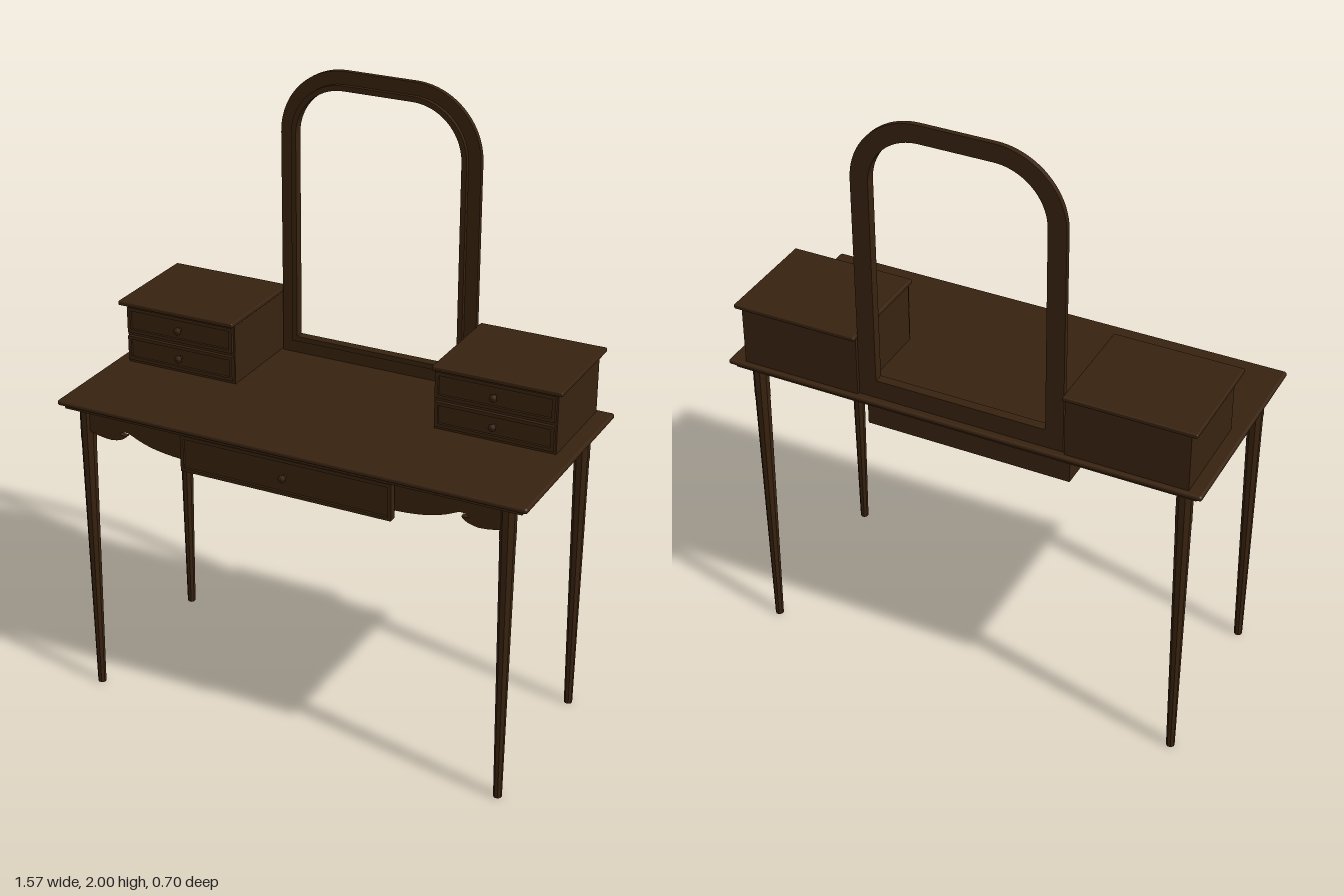
import * as THREE from 'three';
import { RoundedBoxGeometry } from 'three/addons/geometries/RoundedBoxGeometry.js';

const wood = new THREE.MeshStandardMaterial({ color: 0x38220f });
wood.name = 'dark walnut';

export function createModel() {
  const model = new THREE.Group();
  model.name = 'dressingTable';

  const add = (name, geometry, x = 0, y = 0, z = 0) => {
    const mesh = new THREE.Mesh(geometry, wood);
    mesh.name = name;
    mesh.position.set(x, y, z);
    model.add(mesh);
    return mesh;
  };
  // Box given by its limits on each axis
  const box = (name, x0, x1, y0, y1, z0, z1) =>
    add(name, new THREE.BoxGeometry(x1 - x0, y1 - y0, z1 - z0), (x0 + x1) / 2, (y0 + y1) / 2, (z0 + z1) / 2);
  const extrude = (shape, depth) =>
    new THREE.ExtrudeGeometry(shape, { depth, bevelEnabled: false, curveSegments: 10 });
  const rectangle = (path, x0, x1, y0, y1) =>
    path.moveTo(x0, y0).lineTo(x1, y0).lineTo(x1, y1).lineTo(x0, y1).closePath();

  // Turned knob pointing forwards
  const knobProfile = [[0, 0], [0.006, 0], [0.005, 0.01], [0.013, 0.016], [0.012, 0.022], [0, 0.025]]
    .map(([r, h]) => new THREE.Vector2(r, h));
  const knob = (x, y, z) => {
    add('knob', new THREE.LatheGeometry(knobProfile, 14), x, y, z).rotation.x = Math.PI / 2;
  };

  // Drawer front: a panel inside a raised rim
  const drawerFront = (name, x0, x1, y0, y1, z0, z1) => {
    const rim = 0.011;
    box(name + 'Panel', x0 + rim, x1 - rim, y0 + rim, y1 - rim, z0, z1 - 0.008);
    const shape = new THREE.Shape();
    rectangle(shape, x0, x1, y0, y1);
    const hole = new THREE.Path();
    rectangle(hole, x0 + rim, x1 - rim, y0 + rim, y1 - rim);
    shape.holes.push(hole);
    add(name + 'Rim', extrude(shape, z1 - z0), 0, 0, z0);
    knob((x0 + x1) / 2, (y0 + y1) / 2, z1 - 0.008);
  };

  // Table top with softened edge, and a rim beneath it
  add('tableTop', new RoundedBoxGeometry(1.57, 0.018, 0.7, 3, 0.008), 0, 1.029, 0);
  add('tableTopEdge', new RoundedBoxGeometry(1.55, 0.012, 0.68, 2, 0.004), 0, 1.026, 0);
  for (const s of [-1, 1]) {
    box('sideRim', s * 0.725 - 0.04, s * 0.725 + 0.04, 1.008, 1.026, -0.335, 0.335);
    box('longRim', -0.685, 0.685, 1.008, 1.026, s * 0.305 - 0.03, s * 0.305 + 0.03);
  }

  // Four tapered legs with chamfered corners
  for (const x of [-0.715, 0.705]) {
    for (const z of [-0.295, 0.287]) {
      const block = new THREE.CylinderGeometry(0.025, 0.025, 0.12, 8).rotateY(Math.PI / 8).toNonIndexed();
      block.computeVertexNormals();
      add('legBlock', block, x, 0.95, z);
      const taper = new THREE.CylinderGeometry(0.024, 0.0135, 0.89, 8).rotateY(Math.PI / 8).toNonIndexed();
      taper.computeVertexNormals();
      add('leg', taper, x, 0.445, z);
    }
  }

  // Scalloped front aprons, mirrored
  for (const s of [-1, 1]) {
    const apron = new THREE.Shape();
    apron.moveTo(s * 0.71, 1.01);
    apron.lineTo(s * 0.71, 0.935);
    apron.quadraticCurveTo(s * 0.67, 0.918, s * 0.62, 0.917);
    apron.quadraticCurveTo(s * 0.575, 0.922, s * 0.565, 0.942);
    apron.quadraticCurveTo(s * 0.575, 0.938, s * 0.59, 0.944);
    apron.quadraticCurveTo(s * 0.575, 0.96, s * 0.55, 0.95);
    apron.bezierCurveTo(s * 0.50, 0.925, s * 0.45, 0.91, s * 0.34, 0.907);
    apron.lineTo(s * 0.34, 1.01);
    apron.closePath();
    add('apron', extrude(apron, 0.018), 0, 0, 0.285);
  }

  // Wide central drawer
  box('centreDrawerBox', -0.34, 0.34, 0.888, 1.012, -0.27, 0.31);
  drawerFront('centreDrawer', -0.355, 0.355, 0.885, 1.005, 0.308, 0.332);

  // Two small cabinets, each with a pair of drawers
  for (const [name, x0, x1] of [['right', -0.74, -0.35], ['left', 0.335, 0.73]]) {
    box(name + 'Cabinet', x0, x1, 1.035, 1.236, -0.335, -0.005);
    const plate = name === 'right' ? [-0.762, -0.347] : [0.332, 0.748];
    add(name + 'CabinetTop', new RoundedBoxGeometry(plate[1] - plate[0], 0.015, 0.365, 2, 0.004),
      (plate[0] + plate[1]) / 2, 1.2425, -0.1675);
    drawerFront(name + 'LowerDrawer', x0 + 0.005, x1 - 0.005, 1.05, 1.132, -0.006, 0.007);
    drawerFront(name + 'UpperDrawer', x0 + 0.005, x1 - 0.005, 1.145, 1.23, -0.006, 0.007);
  }

  // Arched mirror frame: wide flat frame behind, narrow bead in front
  const cx = -0.005;
  const arch = (path, half, y0, y1, r) => {
    path.moveTo(cx - half, y0);
    path.lineTo(cx + half, y0);
    path.lineTo(cx + half, y1 - r);
    path.absarc(cx + half - r, y1 - r, r, 0, Math.PI / 2, false);
    path.lineTo(cx - half + r, y1);
    path.absarc(cx - half + r, y1 - r, r, Math.PI / 2, Math.PI, false);
    path.closePath();
    return path;
  };
  const frame = (name, outer, z, depth) => {
    const shape = arch(new THREE.Shape(), ...outer);
    shape.holes.push(arch(new THREE.Path(), 0.28, 1.1, 1.942, 0.165));
    add(name, extrude(shape, depth), 0, 0, z);
  };
  frame('mirrorFrame', [0.338, 1.035, 2, 0.222], -0.327, 0.017);
  frame('mirrorBead', [0.297, 1.083, 1.959, 0.182], -0.31, 0.014);

  return model;
}
